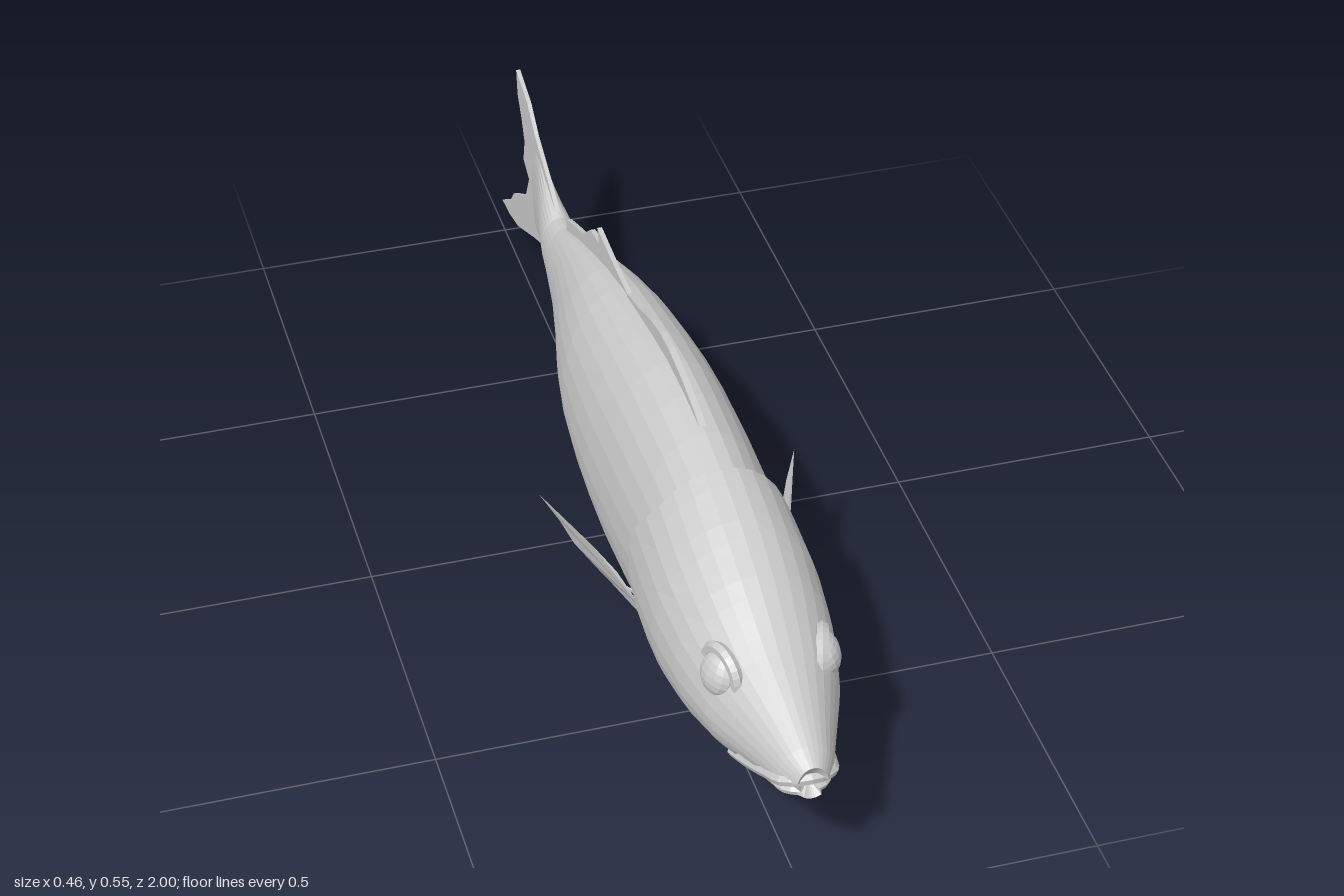
import * as THREE from 'three';

const SIDES = 32;
const skin = new THREE.MeshStandardMaterial({ color: 0xcccccc, side: THREE.DoubleSide });
skin.name = 'silver grey';

// Stations along the fish: z, top, bottom, half width
const BODY = [
  [0.75, 0.415, 0.14, 0.1], [0.62, 0.468, 0.105, 0.118], [0.5, 0.508, 0.081, 0.125], [0.4, 0.521, 0.065, 0.127],
  [0.3, 0.526, 0.054, 0.13], [0.2, 0.525, 0.048, 0.131], [0.1, 0.512, 0.058, 0.13], [0, 0.494, 0.067, 0.125],
  [-0.1, 0.475, 0.079, 0.116], [-0.2, 0.449, 0.095, 0.099], [-0.3, 0.416, 0.126, 0.076], [-0.4, 0.379, 0.164, 0.056],
  [-0.5, 0.336, 0.198, 0.042], [-0.55, 0.325, 0.205, 0.036], [-0.61, 0.345, 0.2, 0.026], [-0.68, 0.375, 0.185, 0.012],
  [-0.75, 0.4, 0.165, 0.003],
];
const HEAD = [
  [1, 0.3, 0.236, 0.026], [0.97, 0.316, 0.222, 0.045], [0.93, 0.334, 0.205, 0.06], [0.88, 0.356, 0.186, 0.08],
  [0.8, 0.391, 0.156, 0.112], [0.7, 0.442, 0.125, 0.136], [0.6, 0.482, 0.1, 0.146], [0.5, 0.51, 0.08, 0.144],
  [0.4, 0.522, 0.064, 0.138],
];
// Rear edge of the gill cover: cosine of the angle from the back ridge, z
const GILL = [[1, 0.49], [0.65, 0.47], [0.36, 0.42], [0.15, 0.41], [-0.05, 0.44], [-0.6, 0.57], [-1, 0.66]];

// Linear lookup in a table whose first column falls
function sample(table, key) {
  let i = 0;
  while (i < table.length - 2 && table[i + 1][0] > key) i++;
  const a = table[i], b = table[i + 1];
  const t = THREE.MathUtils.clamp((key - a[0]) / (b[0] - a[0]), 0, 1);
  return a.map((v, k) => v + (b[k] - v) * t);
}

// Egg-shaped section, widest a little below the middle
function surfacePoint(table, z, angle, scale = 1) {
  const [, top, bottom, width] = sample(table, z);
  const mid = bottom + (top - bottom) * 0.44;
  const c = Math.cos(angle);
  const h = c > 0 ? top - mid : mid - bottom;
  return new THREE.Vector3(Math.sin(angle) * width * scale, mid + c * h * scale, z);
}

// Half width of the head at a given height
function headX(y, z) {
  const [, top, bottom, width] = sample(HEAD, z);
  const mid = bottom + (top - bottom) * 0.44;
  const t = (y - mid) / (y > mid ? top - mid : mid - bottom);
  return width * Math.sqrt(Math.max(0, 1 - t * t));
}

function mesh(name, geometry) {
  const g = geometry.index ? geometry.toNonIndexed() : geometry;
  g.computeVertexNormals();
  const m = new THREE.Mesh(g, skin);
  m.name = name;
  return m;
}

// Skin over closed rings running from front to back
function loft(name, rings) {
  const pos = [], index = [], n = rings[0].length;
  rings.forEach((ring, i) => ring.forEach((p, j) => {
    pos.push(p.x, p.y, p.z);
    if (i === rings.length - 1) return;
    const a = i * n + j, b = i * n + (j + 1) % n;
    index.push(a, b, a + n, b, b + n, a + n);
  }));
  const g = new THREE.BufferGeometry();
  g.setAttribute('position', new THREE.Float32BufferAttribute(pos, 3));
  g.setIndex(index);
  return mesh(name, g);
}

const ring = (fn) => Array.from({ length: SIDES }, (_, j) => fn(j / SIDES * Math.PI * 2));

// Thin upright fin from a (z, y) outline
function midFin(name, outline, thick) {
  const shape = new THREE.Shape(outline.map(([z, y]) => new THREE.Vector2(z, y)));
  const g = new THREE.ExtrudeGeometry(shape, { depth: thick, bevelEnabled: false });
  g.translate(0, 0, -thick / 2);
  g.rotateY(-Math.PI / 2);
  return mesh(name, g);
}

// Fin spreading as a fan from its first point
function fanFin(name, points) {
  const g = new THREE.BufferGeometry();
  g.setAttribute('position', new THREE.Float32BufferAttribute(points.flat(), 3));
  g.setIndex(points.slice(2).flatMap((_, i) => [0, i + 1, i + 2]));
  return mesh(name, g);
}

function makeHead() {
  const rings = [ring(() => new THREE.Vector3(0, 0.258, 0.975))];
  const steps = 18;
  for (let i = 0; i <= steps; i++) {
    const u = Math.pow(i / steps, 1.25);
    rings.push(ring((a) => {
      const zEnd = sample(GILL, Math.cos(a))[1];
      const p = surfacePoint(HEAD, 1 + (zEnd - 1) * u, a);
      // Groove of the mouth
      if (p.z > 0.83 && Math.abs(p.y - (0.254 - (1 - p.z) * 0.36)) < 0.013) {
        p.x *= 0.8;
        p.z -= 0.01;
      }
      return p;
    }));
  }
  // Gill cover edge folded in to the body
  rings.push(rings[rings.length - 1].map((p) => new THREE.Vector3(p.x * 0.86, p.y, p.z + 0.004)));
  return loft('head', rings);
}

// Lip running round the snout from corner to corner
function lip(name, front, sidePoints, radius) {
  const left = sidePoints.map(([y, z]) => new THREE.Vector3(headX(y, z) - 0.003, y, z));
  const right = left.map((p) => new THREE.Vector3(-p.x, p.y, p.z)).reverse();
  const curve = new THREE.CatmullRomCurve3([...right, new THREE.Vector3(...front), ...left]);
  return mesh(name, new THREE.TubeGeometry(curve, 28, radius, 6));
}

function makeSide(name) {
  const side = new THREE.Group();
  side.name = name;

  const eye = mesh('eye', new THREE.SphereGeometry(0.038, 14, 10));
  eye.scale.x = 0.65;
  eye.position.set(0.09, 0.336, 0.782);
  eye.rotation.set(0, -0.3, 0.3);

  const brow = mesh('brow', new THREE.TorusGeometry(0.043, 0.011, 6, 14, Math.PI * 1.1));
  brow.position.set(0.084, 0.336, 0.782);
  brow.rotation.set(0, Math.PI / 2 - 0.3, 0.25);

  const pectoral = fanFin('pectoralFin', [
    [0.125, 0.21, 0.45], [0.15, 0.245, 0.39], [0.178, 0.263, 0.33], [0.232, 0.27, 0.18],
    [0.205, 0.235, 0.22], [0.188, 0.205, 0.25], [0.155, 0.17, 0.29], [0.142, 0.155, 0.3], [0.122, 0.175, 0.42],
  ]);
  const pelvic = fanFin('pelvicFin', [
    [0.02, 0.058, 0.35], [0.055, 0.066, 0.31], [0.075, 0.052, 0.24],
    [0.09, 0.03, 0.16], [0.104, 0, 0.09], [0.07, 0.022, 0.18], [0.035, 0.048, 0.25],
  ]);
  side.add(eye, brow, pectoral, pelvic);
  return side;
}

export function createModel() {
  const fish = new THREE.Group();
  fish.name = 'fish';

  // Body and head
  const rows = [];
  for (let i = 0; i < BODY.length; i++) {
    const z = BODY[i][0];
    rows.push(ring((a) => surfacePoint(BODY, z, a, z > 0.55 ? 0.96 : z > 0.45 ? 0.985 : 1)));
  }
  fish.add(loft('body', rows), makeHead());

  // Mouth
  fish.add(
    lip('upperLip', [0, 0.27, 0.99], [[0.262, 0.975], [0.243, 0.93], [0.215, 0.87], [0.188, 0.81]], 0.01),
    lip('lowerLip', [0, 0.238, 0.982], [[0.236, 0.968], [0.217, 0.92], [0.192, 0.86], [0.178, 0.82]], 0.008),
  );

  // Fins on the centre line
  fish.add(
    midFin('frontDorsalFin', [[0.42, 0.51], [0.36, 0.53], [0.28, 0.545], [0.2, 0.552], [0.15, 0.549], [0.09, 0.535],
      [0.02, 0.51], [-0.055, 0.49], [-0.06, 0.46], [0.1, 0.49], [0.3, 0.5]], 0.012),
    midFin('rearDorsalFin', [[-0.03, 0.48], [-0.07, 0.485], [-0.15, 0.486], [-0.262, 0.493], [-0.25, 0.467],
      [-0.31, 0.457], [-0.365, 0.412], [-0.42, 0.392], [-0.48, 0.368], [-0.485, 0.335], [-0.3, 0.4], [-0.1, 0.46]], 0.009),
    midFin('analFin', [[-0.17, 0.1], [-0.2, 0.088], [-0.34, 0.083], [-0.487, 0.073], [-0.45, 0.1], [-0.435, 0.125],
      [-0.455, 0.16], [-0.47, 0.2], [-0.33, 0.155]], 0.008),
    midFin('tailFin', [[-0.55, 0.32], [-0.61, 0.358], [-0.715, 0.405], [-0.77, 0.445], [-0.855, 0.47], [-0.848, 0.42],
      [-0.82, 0.38], [-0.8, 0.34], [-0.812, 0.292], [-0.77, 0.272], [-0.8, 0.215], [-0.85, 0.185], [-0.9, 0.155],
      [-0.93, 0.12], [-1, 0.075], [-0.94, 0.08], [-0.87, 0.096], [-0.74, 0.155], [-0.66, 0.188], [-0.55, 0.21]], 0.008),
  );

  // Eyes and paired fins
  const left = makeSide('leftSide');
  const right = makeSide('rightSide');
  right.scale.x = -1;
  fish.add(left, right);
  return fish;
}
